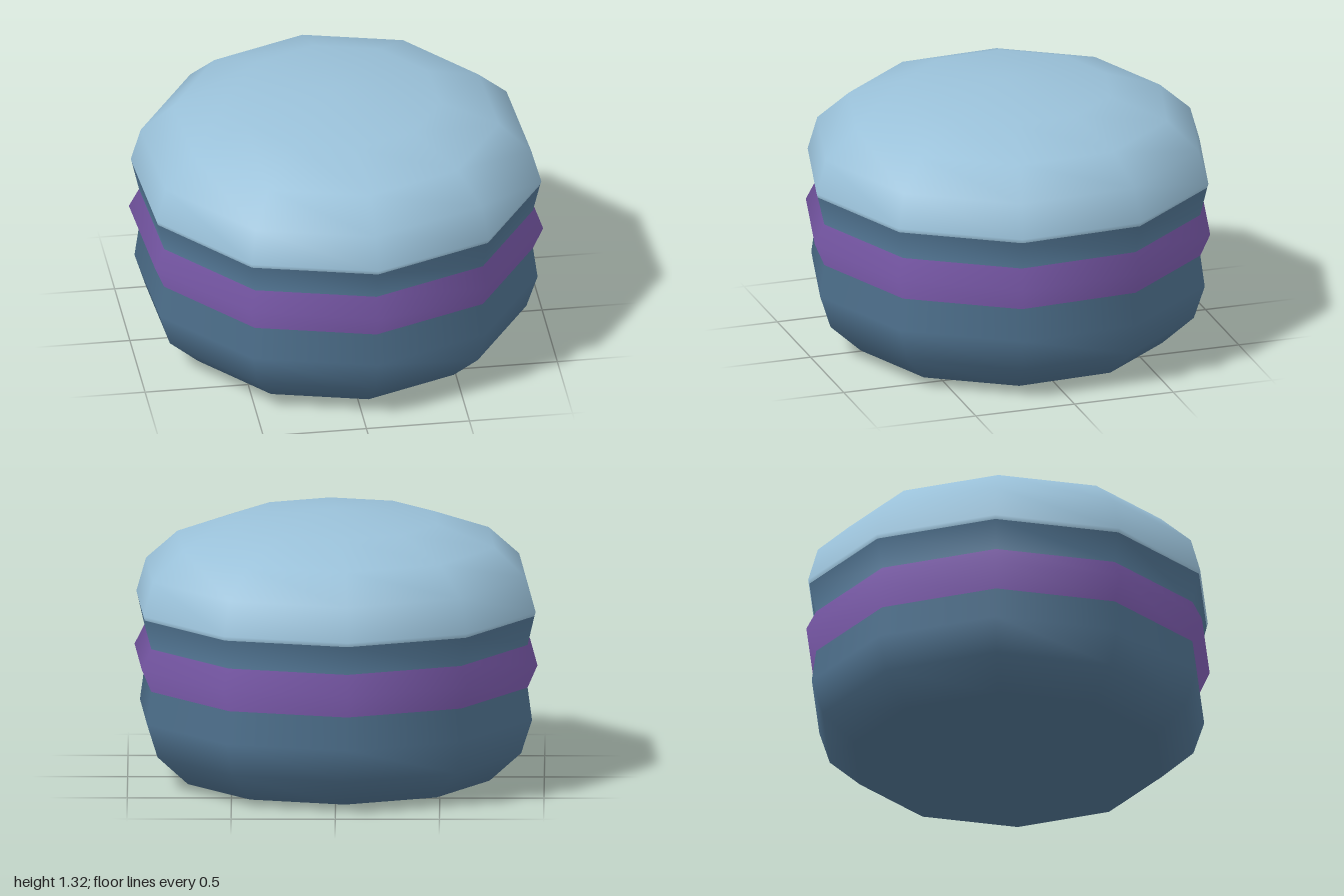
import * as THREE from 'three';

const SIDES = 10;
const TWIST = 0.06;

// Radius and height, from the bottom centre up to the crown
const PROFILE = [
  [0, 0.005], [0.763, 0.027], [0.919, 0.17], [0.973, 0.335], [0.951, 0.493],
  [1.0, 0.605],
  [0.951, 0.702], [0.985, 0.845], [0.991, 0.865], [0.943, 1.03], [0.787, 1.17], [0.505, 1.27], [0, 1.325],
];

// Rows of the profile that belong to each part
const PARTS = [
  { name: 'lowerShell', from: 0, to: 4, material: 'darkBlue' },
  { name: 'filling', from: 4, to: 6, material: 'purple' },
  { name: 'upperShellRim', from: 6, to: 7, material: 'darkBlue' },
  { name: 'upperShellGlaze', from: 7, to: 12, material: 'lightBlue' },
];

export function createModel() {
  const group = new THREE.Group();
  group.name = 'macaron';

  const materials = {};
  const colours = { lightBlue: 0x9ac1d9, darkBlue: 0x527694, purple: 0x7c5bad };
  for (const [name, color] of Object.entries(colours)) {
    materials[name] = new THREE.MeshStandardMaterial({ color });
    materials[name].name = name;
  }

  // One smooth ten-sided body, so that normals run on across the parts
  const body = new THREE.LatheGeometry(PROFILE.map(([r, y]) => new THREE.Vector2(r, y)), SIDES, TWIST);
  const rows = PROFILE.length;
  for (let i = 0; i <= SIDES; i++) {
    body.attributes.normal.setXYZ(i * rows, 0, -1, 0);
    body.attributes.normal.setXYZ(i * rows + rows - 1, 0, 1, 0);
  }

  // Cut the body into its bands
  for (const part of PARTS) {
    const index = [];
    for (let i = 0; i < SIDES; i++) {
      for (let j = part.from; j < part.to; j++) {
        const a = i * rows + j;
        const b = a + rows;
        if (j > 0) index.push(a, b, a + 1);
        if (j < rows - 2) index.push(b + 1, a + 1, b);
        else index[index.length - 1] = a + 1;
      }
    }
    const geometry = body.clone();
    geometry.setIndex(index);
    const mesh = new THREE.Mesh(geometry, materials[part.material]);
    mesh.name = part.name;
    group.add(mesh);
  }
  return group;
}
